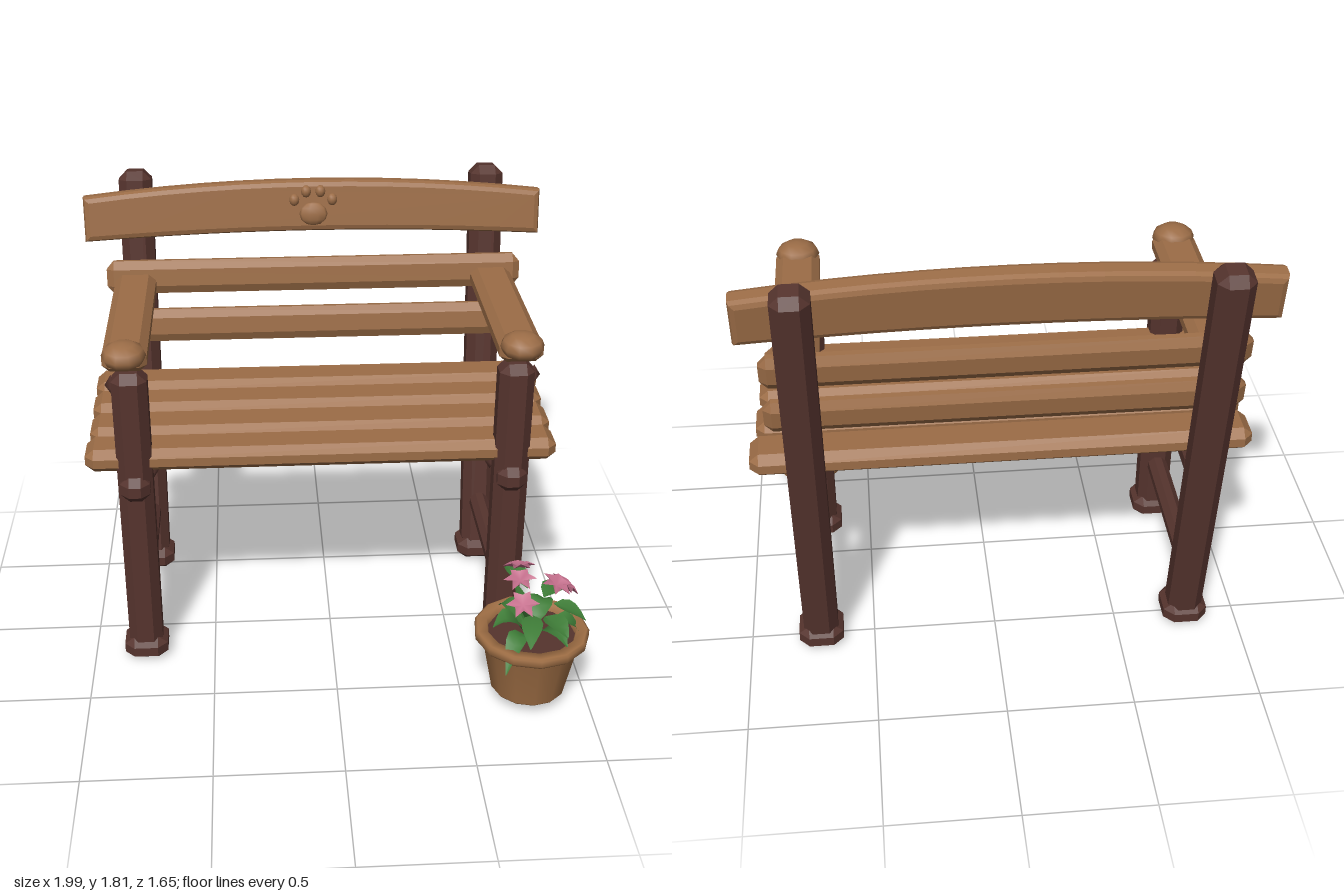
import * as THREE from 'three';
import { ConvexGeometry } from 'three/addons/geometries/ConvexGeometry.js';

const mat = (name, color, side = THREE.FrontSide) => {
  const m = new THREE.MeshStandardMaterial({ color, side });
  m.name = name;
  return m;
};

// Box with all edges and corners cut off
function chamferBox(w, h, d, cx, cy = cx, cz = cx) {
  const pts = [];
  for (const x of [-1, 1]) for (const y of [-1, 1]) for (const z of [-1, 1]) {
    const [a, b, c] = [w / 2, h / 2, d / 2];
    pts.push(new THREE.Vector3(x * a, y * (b - cy), z * (c - cz)));
    pts.push(new THREE.Vector3(x * (a - cx), y * b, z * (c - cz)));
    pts.push(new THREE.Vector3(x * (a - cx), y * (b - cy), z * c));
  }
  return new ConvexGeometry(pts);
}

// Arched, folded leaf running along +x from cross-sections
function leafGeometry(r0, r1, y0, yPeak, y1, width) {
  const pos = [], idx = [], n = 5;
  const curve = new THREE.QuadraticBezierCurve(
    new THREE.Vector2(r0, y0),
    new THREE.Vector2((r0 + r1) / 2, 2 * yPeak - (y0 + y1) / 2),
    new THREE.Vector2(r1, y1));
  for (let i = 0; i <= n; i++) {
    const t = i / n, p = curve.getPoint(t);
    const w = width / 2 * Math.sin(Math.PI * Math.pow(t, 0.85)) + 0.002;
    pos.push(p.x, p.y, -w, p.x, p.y - w * 0.35, 0, p.x, p.y, w);
    if (i < n) for (const k of [0, 1]) {
      const a = i * 3 + k;
      idx.push(a, a + 1, a + 3, a + 1, a + 4, a + 3);
    }
  }
  const g = new THREE.BufferGeometry();
  g.setAttribute('position', new THREE.Float32BufferAttribute(pos, 3));
  g.setIndex(idx);
  g.computeVertexNormals();
  return g;
}

// Six-petalled star with a sunken centre, facing +z
function flowerGeometry(r) {
  const g = new THREE.CircleGeometry(r, 12), p = g.attributes.position;
  for (let i = 1; i < p.count; i++) {
    const k = i % 2 ? 1 : 0.55;
    p.setXYZ(i, p.getX(i) * k, p.getY(i) * k, i % 2 ? 0.008 : 0.02);
  }
  g.computeVertexNormals();
  return g;
}

export function createModel() {
  const wood = mat('warm wood', 0x9c6d47);
  const frame = mat('dark frame wood', 0x56342e);
  const clay = mat('clay', 0xa06f45, THREE.DoubleSide);
  const green = mat('leaf green', 0x3f7d38, THREE.DoubleSide);
  const pink = mat('petal pink', 0xc46f8c, THREE.DoubleSide);

  const model = new THREE.Group();
  const add = (name, geo, material, x, y, z, rx = 0, parent = model) => {
    const m = new THREE.Mesh(geo, material);
    m.name = name;
    m.position.set(x, y, z);
    m.rotation.x = rx;
    parent.add(m);
    return m;
  };

  const cx = -0.035, tilt = -0.139;

  // Side frames: legs, feet, rails, bolts and armrests
  const bolt = (name, side, x, y, z) => {
    const b = add(name, new THREE.SphereGeometry(0.042, 4, 2), frame, x, y, z);
    b.scale.x = 0.6;
  };
  for (const s of [-1, 1]) {
    const side = s > 0 ? 'left' : 'right', x = cx + s * 0.75;
    add(side + 'FrontLeg', chamferBox(0.138, 1.27, 0.135, 0.035), frame, x, 0.675, 0.182);
    add(side + 'FrontFoot', chamferBox(0.178, 0.1, 0.178, 0.04, 0.03, 0.04), frame, x, 0.05, 0.182);
    add(side + 'BackLeg', chamferBox(0.138, 1.77, 0.138, 0.035), frame, x, 0.928, -0.642, tilt);
    add(side + 'BackFoot', chamferBox(0.178, 0.1, 0.182, 0.04, 0.03, 0.04), frame, x, 0.05, -0.517);
    add(side + 'Stretcher', chamferBox(0.08, 0.08, 0.66, 0.024), frame, x, 0.292, -0.18);
    add(side + 'SeatRail', chamferBox(0.118, 0.115, 0.87, 0.035), frame, x, 0.82, -0.155);
    for (const z of [0.08, -0.4]) for (const o of [-1, 1])
      bolt(side + 'RailBolt', side, x + o * 0.063, 0.82, z);
    bolt(side + 'LegBolt', side, x + s * 0.07, 1.25, 0.182);
    const ax = cx + s * 0.761;
    add(side + 'Armrest', chamferBox(0.172, 0.086, 0.84, 0.03, 0.026, 0.03), wood, ax, 1.362, -0.18);
    const knob = add(side + 'ArmKnob', new THREE.SphereGeometry(0.086, 10, 6), wood, ax, 1.39, 0.217, 0.06);
    knob.scale.y = 0.62;
  }

  // Seat slats: z centre, depth, x start, x end
  [[0.132, 0.182, -0.98, 0.895], [-0.07, 0.195, -0.975, 0.905],
    [-0.282, 0.186, -0.98, 0.912], [-0.488, 0.186, -0.983, 0.93]].forEach(([z, d, a, b]) =>
    add('seatSlat', chamferBox(b - a, 0.096, d, 0.035, 0.03, 0.035), wood, (a + b) / 2, 0.923, z));

  // Back slats
  for (const [y, z] of [[1.382, -0.608], [1.17, -0.578]])
    add('backSlat', chamferBox(1.775, 0.142, 0.062, 0.03, 0.035, 0.02), wood, -0.032, y, z, tilt);

  // Arched top board with rounded edges
  const bev = 0.025, hw = 0.965 - bev;
  const arch = new THREE.Shape();
  arch.moveTo(-hw, -0.11 + bev);
  arch.quadraticCurveTo(0, -0.05 + bev, hw, -0.11 + bev);
  arch.lineTo(hw, 0.08 - bev);
  arch.quadraticCurveTo(0, 0.19 - bev, -hw, 0.08 - bev);
  const board = new THREE.ExtrudeGeometry(arch, {
    depth: 0.045, bevelEnabled: true, bevelSize: bev, bevelThickness: bev, bevelSegments: 2, curveSegments: 12
  });
  board.translate(0, 0, -0.0225);
  const topBoard = new THREE.Group();
  topBoard.name = 'topBoard';
  topBoard.position.set(cx, 1.65, -0.648);
  topBoard.rotation.x = tilt;
  model.add(topBoard);
  add('archedBoard', board, wood, 0, 0, 0, 0, topBoard);

  // Raised paw carving
  [[0, -0.005, 0.062, 0.05], [-0.08, 0.055, 0.022, 0.026], [-0.03, 0.09, 0.022, 0.026],
    [0.03, 0.09, 0.022, 0.026], [0.08, 0.055, 0.022, 0.026]].forEach(([x, y, w, h], i) =>
    add(i ? 'pawToe' : 'pawPad', new THREE.SphereGeometry(1, 10, 6), wood, x, y, 0.045, 0, topBoard)
      .scale.set(w, h, 0.022));

  // Flower pot
  const plant = new THREE.Group();
  plant.name = 'pottedPlant';
  plant.position.set(0.765, 0, 0.575);
  model.add(plant);
  const profile = [[0, 0.053], [0.145, 0.053], [0.15, 0.06], [0.195, 0.282], [0.215, 0.285],
    [0.228, 0.3], [0.228, 0.325], [0.218, 0.332], [0.18, 0.332], [0.172, 0.3]];
  add('pot', new THREE.LatheGeometry(profile.map(p => new THREE.Vector2(...p)), 13), clay, 0, 0, 0, 0, plant);
  add('soil', new THREE.CircleGeometry(0.18, 13), frame, 0, 0.305, 0, -Math.PI / 2, plant);

  // Leaves: angle, start radius, end radius, start, peak and end height, width
  const leaves = [
    [0.05, 0.08, 0.225, 0.33, 0.37, 0.235, 0.09], [2.15, 0.06, 0.24, 0.33, 0.37, 0.25, 0.08],
    [1.0, 0.03, 0.2, 0.31, 0.4, 0.35, 0.1], [3.0, 0.03, 0.16, 0.31, 0.4, 0.35, 0.1],
    [4.0, 0.03, 0.17, 0.31, 0.4, 0.35, 0.1], [5.2, 0.03, 0.18, 0.31, 0.4, 0.35, 0.1],
    [1.78, 0.08, 0.25, 0.44, 0.45, 0.4, 0.08], [1.05, 0.07, 0.21, 0.42, 0.44, 0.4, 0.09],
    [0.4, 0.08, 0.21, 0.46, 0.46, 0.41, 0.08], [5.45, 0.08, 0.24, 0.43, 0.45, 0.4, 0.09],
    [4.25, 0.04, 0.2, 0.49, 0.53, 0.5, 0.08], [3.9, 0.0, 0.09, 0.32, 0.42, 0.5, 0.07],
    [2.6, 0.0, 0.08, 0.32, 0.42, 0.49, 0.07]];
  for (const [a, ...dims] of leaves)
    add('leaf', leafGeometry(...dims), green, 0, 0, 0, 0, plant).rotation.y = -a;

  // Blossoms: position and the outward lean of the face
  [[-0.04, 0.535, -0.12, 0, -0.35], [0.13, 0.485, -0.055, 0.75, -0.1], [-0.065, 0.57, 0.03, -0.1, 0.15],
    [0.075, 0.55, 0.04, 0.3, 0.2], [-0.065, 0.51, 0.11, -0.1, 0.45]].forEach(([x, y, z, lx, lz]) => {
    const f = add('blossom', flowerGeometry(0.066), pink, x, y, z, 0, plant);
    f.quaternion.setFromUnitVectors(new THREE.Vector3(0, 0, 1), new THREE.Vector3(lx, 1, lz).normalize());
  });

  return model;
}
